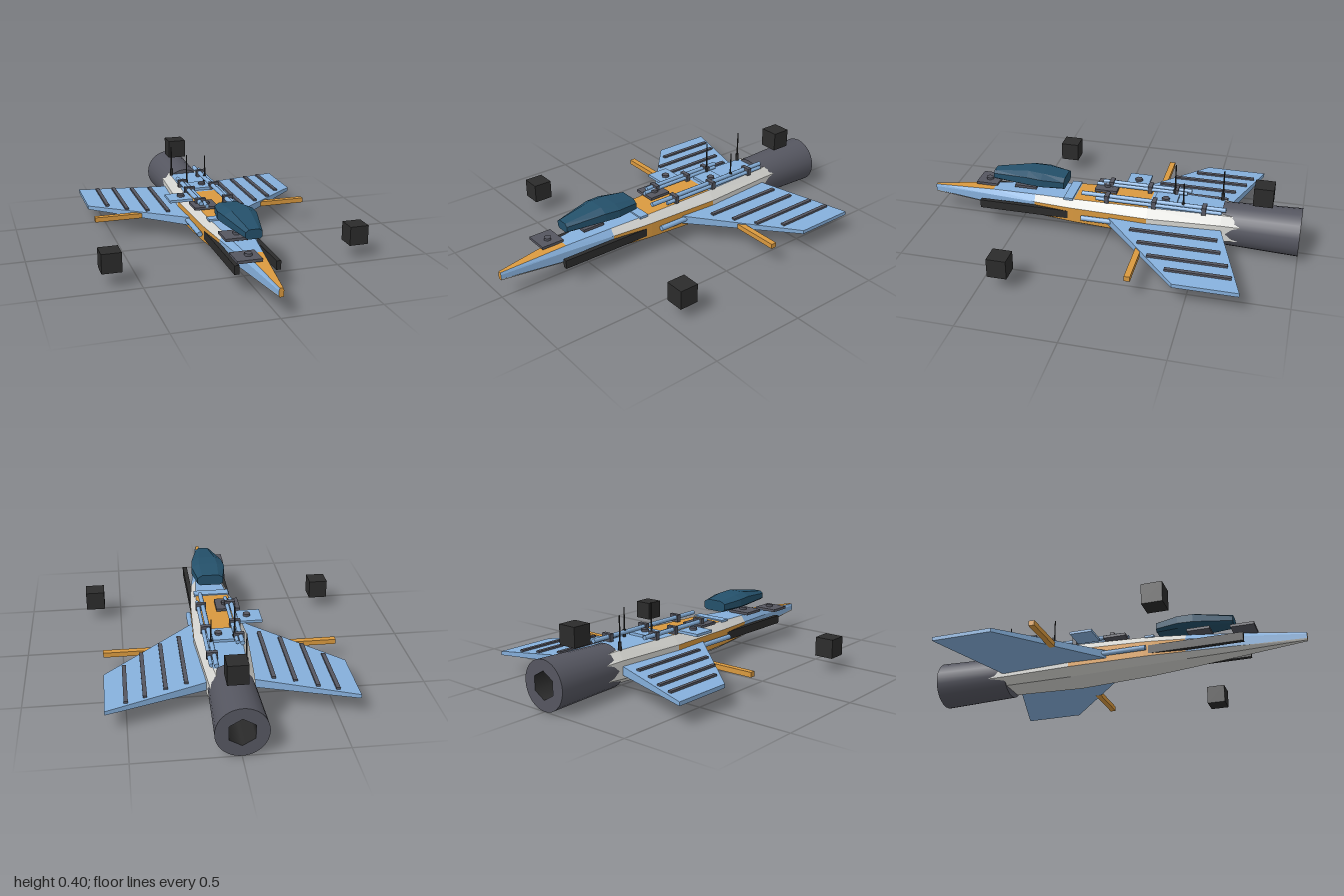
import * as THREE from 'three';

const mat = (name, color, side = THREE.FrontSide) => {
  const m = new THREE.MeshStandardMaterial({ color, side });
  m.name = name;
  return m;
};

export function createModel() {
  const blue = mat('sky blue', 0x86b0dc);
  const orange = mat('amber', 0xd9993f);
  const white = mat('hull white', 0xd6d6d2);
  const grey = mat('engine grey', 0x555660);
  const dark = mat('near black', 0x2b2b2b, THREE.DoubleSide);
  const teal = mat('canopy teal', 0x24506a);

  const root = new THREE.Group();
  root.name = 'fighter';

  const add = (name, geo, material, x = 0, y = 0, z = 0) => {
    const m = new THREE.Mesh(geo, material);
    m.name = name;
    m.position.set(x, y, z);
    root.add(m);
    return m;
  };
  const box = (name, material, w, h, d, x, y, z) =>
    add(name, new THREE.BoxGeometry(w, h, d), material, x, y, z);
  const rod = (name, material, r, x, y, z0, z1, sides = 8) =>
    add(name, new THREE.CylinderGeometry(r, r, z0 - z1, sides).rotateX(Math.PI / 2), material, x, y, (z0 + z1) / 2);

  // Flat-sided skin through rings of points; pick(band, side) gives each panel its colour
  const loft = (name, rings, pick) => {
    const parts = new Map();
    const tri = (m, ...pts) => {
      if (!parts.has(m)) parts.set(m, []);
      pts.forEach((p) => parts.get(m).push(...p));
    };
    const n = rings[0].length;
    for (let i = 0; i < rings.length - 1; i++) {
      for (let j = 0; j < n; j++) {
        const k = (j + 1) % n, a = rings[i], b = rings[i + 1], m = pick(i, j);
        tri(m, a[j], b[j], a[k]);
        tri(m, a[k], b[j], b[k]);
      }
    }
    const first = rings[0], last = rings[rings.length - 1];
    for (let j = 1; j < n - 1; j++) {
      tri(pick(0, 0), first[0], first[j], first[j + 1]);
      tri(pick(rings.length - 2, 0), last[0], last[j + 1], last[j]);
    }
    for (const [m, p] of parts) {
      const g = new THREE.BufferGeometry();
      g.setAttribute('position', new THREE.Float32BufferAttribute(p, 3));
      g.computeVertexNormals();
      add(`${name} ${m.name}`, g, m);
    }
  };

  // Eight-sided section: half width, bottom, top, top and bottom flat widths
  const octagon = (z, w, y0, y1, topW, botW) => {
    const h = y1 - y0, up = y0 + h * 0.74, lo = y0 + h * 0.2;
    return [[topW, y1], [-topW, y1], [-w, up], [-w, lo], [-botW, y0], [botW, y0], [w, lo], [w, up]]
      .map(([x, y]) => [x, y, z]);
  };

  // Fuselage, painted in bands
  const hull = [
    [1, 0.012, 0.102, 0.145, 0.008, 0.008],
    [0.65, 0.058, 0.08, 0.178, 0.042, 0.035],
    [0.4, 0.092, 0.066, 0.195, 0.068, 0.058],
    [0.24, 0.112, 0.058, 0.203, 0.083, 0.07],
    [0.18, 0.118, 0.055, 0.206, 0.088, 0.074],
    [-0.22, 0.138, 0.042, 0.217, 0.1, 0.085],
    [-0.6, 0.115, 0.048, 0.215, 0.082, 0.072],
    [-0.78, 0.1, 0.06, 0.2, 0.06, 0.06],
  ].map((s) => octagon(...s));
  const topPaint = [orange, blue, blue, blue, orange, blue, white];
  const sidePaint = [blue, blue, orange, orange, orange, white, white];
  const paint = (band, side) => {
    if (side === 0) return topPaint[band];
    if (side === 1 || side === 7) return band < 2 ? blue : white;
    if (side === 2 || side === 6) return sidePaint[band];
    return white;
  };
  loft('fuselage', hull, paint);

  // Raised canopy
  loft('canopy', [
    octagon(0.64, 0.042, 0.242, 0.29, 0.025, 0.03),
    octagon(0.44, 0.085, 0.242, 0.32, 0.045, 0.06),
    octagon(0.36, 0.092, 0.242, 0.316, 0.05, 0.065),
    octagon(0.24, 0.07, 0.242, 0.3, 0.045, 0.055),
  ], () => teal);

  // Engine barrel with a six-sided exhaust
  const ey = 0.125;
  add('engineBarrel', new THREE.CylinderGeometry(0.112, 0.125, 0.4, 24, 1, true).rotateX(Math.PI / 2), grey, 0, ey, -0.8);
  add('engineFront', new THREE.CircleGeometry(0.112, 24), grey, 0, ey, -0.6);
  const rim = new THREE.Shape().absarc(0, 0, 0.125, 0, Math.PI * 2);
  const hole = new THREE.Path();
  for (let i = 0; i < 6; i++) {
    const a = (i * Math.PI) / 3;
    hole[i ? 'lineTo' : 'moveTo'](0.07 * Math.sin(a), 0.07 * Math.cos(a));
  }
  hole.closePath();
  rim.holes.push(hole);
  add('engineRim', new THREE.ShapeGeometry(rim, 24).rotateY(Math.PI), grey, 0, ey, -1);
  add('exhaustTube', new THREE.CylinderGeometry(0.07, 0.07, 0.2, 6, 1, true).rotateX(Math.PI / 2), dark, 0, ey, -0.9);
  add('exhaustEnd', new THREE.CircleGeometry(0.075, 6), dark, 0, ey, -0.8);

  // Wings, ribs, spars, side rails, side pipes and floating side blocks
  const wingTop = (x) => 0.145 - ((x - 0.1) / 0.5) * 0.025;
  const wingRing = (s, x, back, front) => {
    const t = wingTop(x);
    return [[t, back], [t, front], [0.1, front], [0.1, back]].map(([y, z]) => [s * x, y, z]);
  };
  const ribs = [[0.21, -0.6, -0.15], [0.31, -0.63, -0.21], [0.41, -0.68, -0.28], [0.5, -0.71, -0.385]];
  for (const s of [1, -1]) {
    const label = s > 0 ? 'left' : 'right';
    const rings = [wingRing(s, 0.6, -0.76, -0.44), wingRing(s, 0.1, -0.6, 0.01)];
    if (s < 0) rings.reverse();
    loft(`${label}Wing`, rings, () => blue);
    for (const [x, back, front] of ribs) {
      box(`${label}WingRib`, grey, 0.02, 0.016, front - back, s * x, wingTop(x) + 0.002, (front + back) / 2);
    }
    box(`${label}Spar`, orange, 0.26, 0.026, 0.03, s * 0.47, 0.112, -0.225);
    box(`${label}Rail`, dark, 0.024, 0.045, 0.5, s * 0.103, 0.122, 0.45);
    box(`${label}Block`, dark, 0.1, 0.1, 0.1, s * 0.638, 0.122, 0.4);
    rod(`${label}SidePipe`, blue, 0.014, s * 0.134, 0.125, s > 0 ? 0.13 : 0.2, -0.6);
  }
  box('topBlock', dark, 0.1, 0.1, 0.1, 0, 0.325, -0.8);

  // Pipes along the back, held by clamps
  rod('longPipe', blue, 0.012, 0.068, 0.24, 0.14, -0.62);
  rod('longPipeOuter', blue, 0.01, 0.092, 0.232, 0.06, -0.6);
  rod('shortPipe', blue, 0.012, -0.085, 0.24, 0.06, -0.42);
  rod('shortPipeInner', blue, 0.01, -0.062, 0.235, 0.09, -0.4);
  for (const [x, z] of [[0.078, 0], [0.078, -0.25], [0.078, -0.51], [-0.076, 0.01], [-0.076, -0.2], [-0.076, -0.34]]) {
    box('pipeClamp', grey, 0.055, 0.04, 0.022, x, 0.236, z);
  }

  // Equipment plates, each with a six-sided knob
  for (const [m, x, y, z] of [
    [grey, -0.06, 0.183, 0.7], [grey, -0.04, 0.205, 0.47], [grey, -0.065, 0.223, 0.03],
    [blue, -0.16, 0.225, -0.12], [blue, 0.01, 0.225, -0.3],
  ]) {
    box('equipmentPlate', m, 0.125, 0.014, 0.12, x, y, z);
    add('plateKnob', new THREE.CylinderGeometry(0.02, 0.02, 0.014, 6), grey, x + 0.012, y + 0.013, z);
  }
  box('deckCrossPlate', blue, 0.19, 0.012, 0.05, 0, 0.206, 0.21);

  // Antennas
  for (const [x, top, z] of [[-0.055, 0.4, -0.335], [0.07, 0.368, -0.4], [-0.078, 0.385, -0.585]]) {
    add('antenna', new THREE.CylinderGeometry(0.003, 0.005, top - 0.2, 6), dark, x, (top + 0.2) / 2, z);
    add('antennaBase', new THREE.CylinderGeometry(0.009, 0.009, 0.06, 6), dark, x, 0.225, z);
  }
  return root;
}
